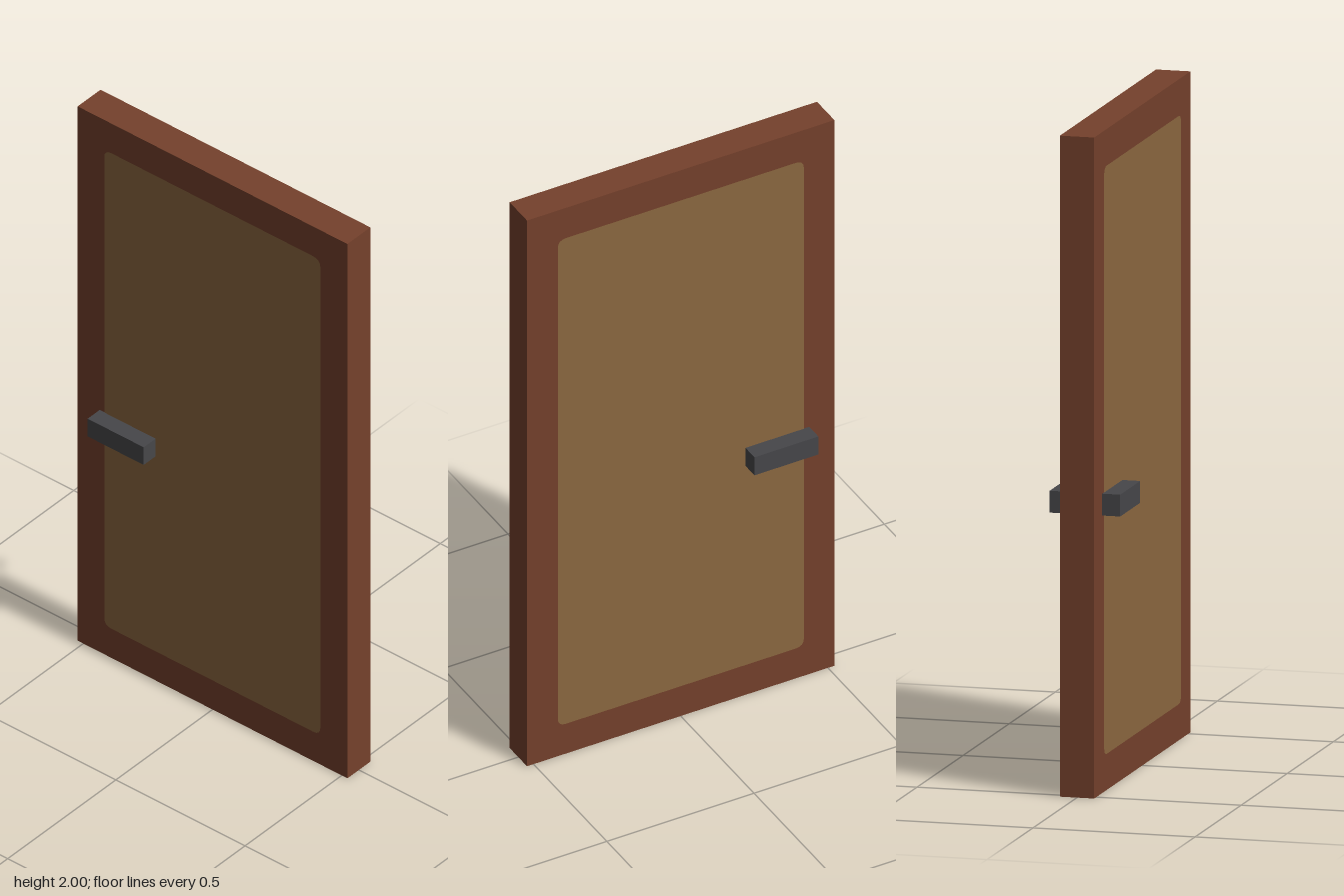
import * as THREE from 'three';

const WIDTH = 1.044, HEIGHT = 2, THICK = 0.106;

function mat(name, color) {
  const m = new THREE.MeshStandardMaterial({ color });
  m.name = name;
  return m;
}

// Rectangle outline with rounded corners, centred on the origin
function roundedRect(w, h, r) {
  const x = w / 2, y = h / 2, s = new THREE.Shape();
  s.moveTo(-x + r, -y);
  s.lineTo(x - r, -y).quadraticCurveTo(x, -y, x, -y + r);
  s.lineTo(x, y - r).quadraticCurveTo(x, y, x - r, y);
  s.lineTo(-x + r, y).quadraticCurveTo(-x, y, -x, y - r);
  s.lineTo(-x, -y + r).quadraticCurveTo(-x, -y, -x + r, -y);
  return s;
}

export function createModel() {
  const frameWood = mat('red brown wood', 0x75412c);
  const panelWood = mat('light brown wood', 0x8c6840);
  const metal = mat('dark grey metal', 0x47474a);

  const door = new THREE.Group();
  door.name = 'door';

  const add = (name, geometry, material, x, y, z) => {
    const mesh = new THREE.Mesh(geometry, material);
    mesh.name = name;
    mesh.position.set(x, y, z);
    door.add(mesh);
    return mesh;
  };

  // Door slab
  add('doorSlab', new THREE.BoxGeometry(THICK, HEIGHT, WIDTH), frameWood, 0, HEIGHT / 2, 0);

  // Painted panel and handle on each face
  const panel = new THREE.ShapeGeometry(roundedRect(0.836, 1.78, 0.028), 4);
  const handle = new THREE.BoxGeometry(0.056, 0.066, 0.217);
  for (const [side, label] of [[1, 'left'], [-1, 'right']]) {
    const face = add(label + 'Panel', panel, panelWood, side * (THICK / 2 + 0.001), 1, 0);
    face.rotation.y = side * Math.PI / 2;
    add(label + 'Handle', handle, metal, side * (THICK / 2 + 0.028), 0.873, -0.328);
  }
  return door;
}
